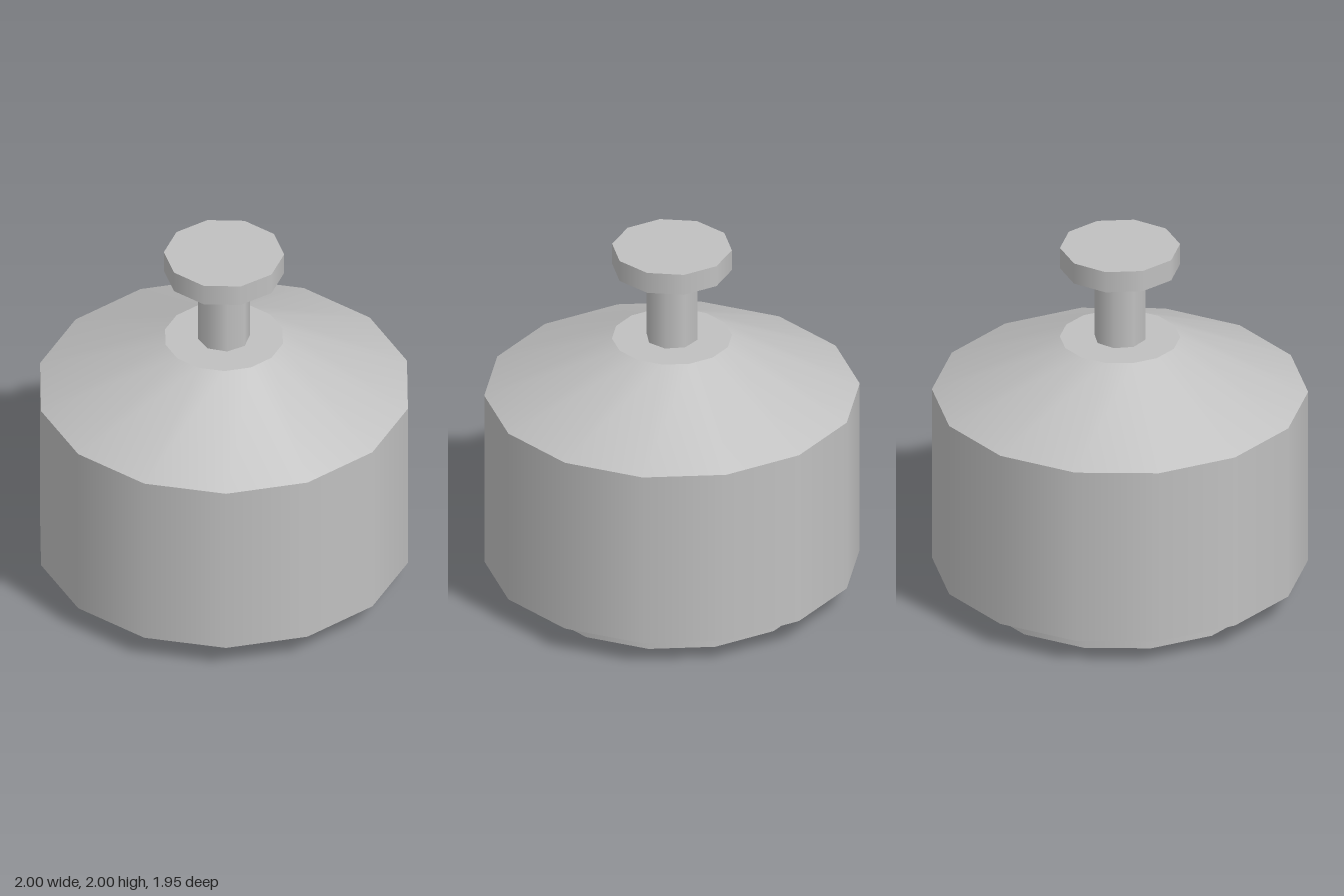
import * as THREE from 'three';

export function createModel() {
  const model = new THREE.Group();
  const grey = new THREE.MeshStandardMaterial({ color: 0xc0c0c0 });
  grey.name = 'grey';

  // Upright drum with one corner of its outline on the x axis
  const drum = (name, rTop, rBottom, y0, y1, sides) => {
    const geometry = new THREE.CylinderGeometry(rTop, rBottom, y1 - y0, sides, 1, false, Math.PI / 2);
    const mesh = new THREE.Mesh(geometry, grey);
    mesh.name = name;
    mesh.position.y = (y0 + y1) / 2;
    model.add(mesh);
  };

  drum('base', 0.8, 0.8, 0, 0.14, 14);
  drum('body', 1, 1, 0.14, 1.14, 14);
  drum('shoulder', 0.32, 1, 1.14, 1.46, 14);
  drum('stem', 0.14, 0.14, 1.46, 1.88, 8);
  drum('knob', 0.32, 0.32, 1.88, 2, 10);
  return model;
}
